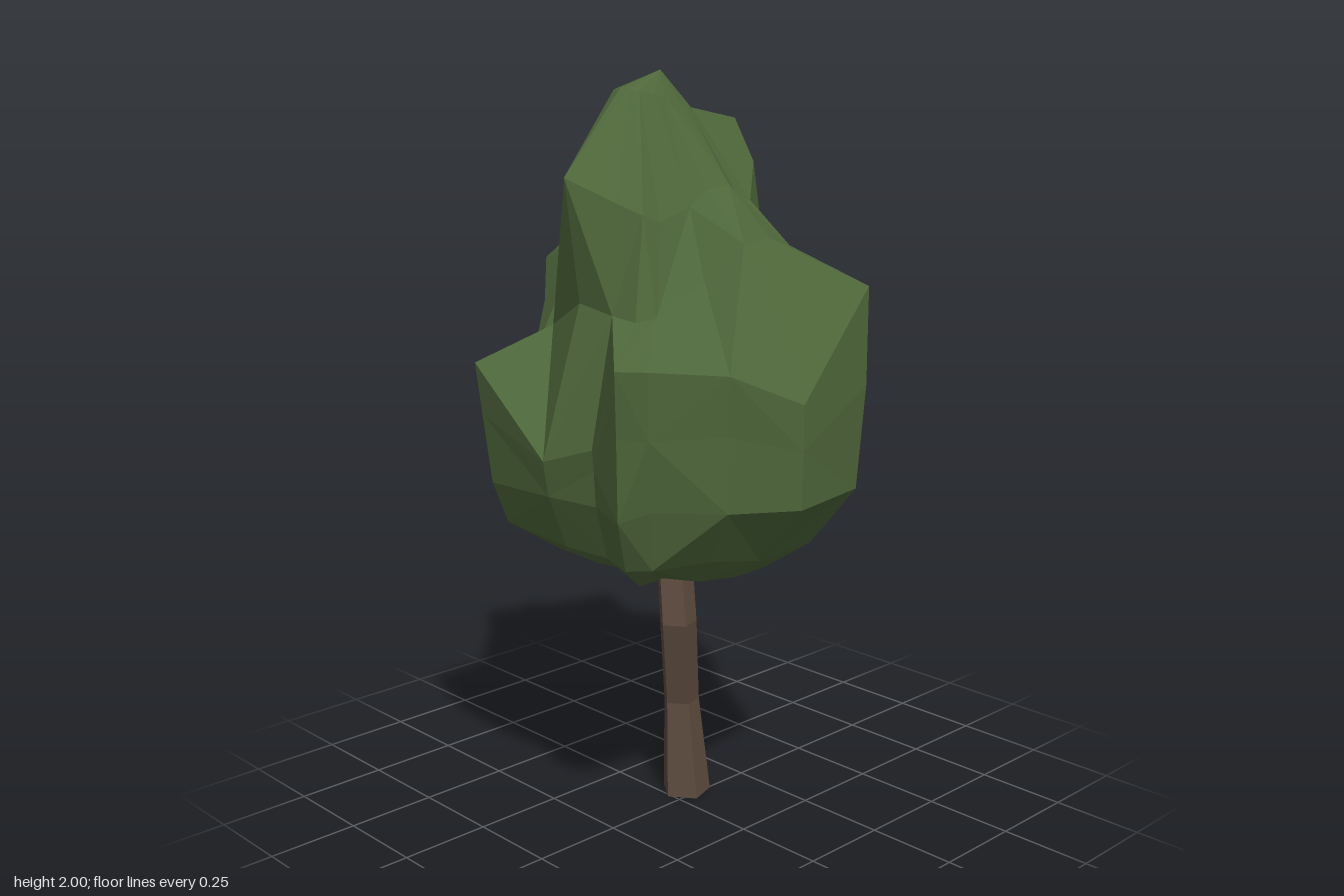
import * as THREE from 'three';

// Skins a stack of closed rings (bottom to top, turning from +x to +z) and closes both ends.
function loft(rings, bottom, top) {
  const n = rings[0].length;
  const pos = [];
  const tri = (a, b, c) => pos.push(...a, ...b, ...c);
  for (let i = 0; i < n; i++) {
    const j = (i + 1) % n;
    tri(bottom, rings[0][i], rings[0][j]);
    for (let k = 0; k < rings.length - 1; k++) {
      const a = rings[k][i], b = rings[k][j], c = rings[k + 1][i], d = rings[k + 1][j];
      if ((i + k) % 2) { tri(a, c, b); tri(b, c, d); }
      else { tri(a, d, b); tri(a, c, d); }
    }
    const last = rings[rings.length - 1];
    tri(last[j], last[i], top);
  }
  const geo = new THREE.BufferGeometry();
  geo.setAttribute('position', new THREE.Float32BufferAttribute(pos, 3));
  geo.computeVertexNormals();
  return geo;
}

// Bent five-sided trunk: x, y, z, radius at each bend
function trunkGeometry() {
  const path = [
    [-0.037, 0, -0.06, 0.07],
    [-0.06, 0.27, -0.062, 0.052],
    [-0.028, 0.52, -0.018, 0.054],
    [-0.065, 0.74, -0.035, 0.052],
    [-0.07, 0.85, -0.04, 0.045],
  ];
  const rings = path.map(([x, y, z, r]) => Array.from({ length: 5 }, (_, i) => {
    const a = Math.PI / 2 + i * Math.PI * 0.4;
    return [x + r * Math.cos(a), y, z + r * Math.sin(a)];
  }));
  return loft(rings, path[0].slice(0, 3), path[4].slice(0, 3));
}

// Lumpy crown: each column climbs a lobe to its tip, steps in to a shelf,
// then rises over an upper shoulder to the peak
function crownGeometry() {
  let seed = 11;
  const jitter = (s) => {
    seed = (seed * 16807) % 2147483647;
    return (seed / 2147483647 - 0.5) * 2 * s;
  };
  const cx = -0.04;
  // tip x, z, height; flank fraction; shelf fraction, height; shoulder fraction, height
  const columns = [
    [0.52, 0.09, 1.23, 1.00, 0.57, 1.59, 0.30, 1.71],
    [0.40, 0.22, 1.30, 0.98, 0.60, 1.50, 0.36, 1.67],
    [0.34, 0.43, 1.33, 0.99, 0.62, 1.42, 0.43, 1.64],
    [0.28, 0.48, 1.33, 0.98, 0.64, 1.41, 0.50, 1.66],
    [0.14, 0.43, 1.11, 0.98, 0.74, 1.42, 0.68, 1.69],
    [-0.01, 0.46, 1.06, 0.99, 0.71, 1.44, 0.81, 1.75],
    [-0.29, 0.45, 1.27, 0.97, 0.60, 1.36, 0.48, 1.65],
    [-0.31, 0.24, 1.26, 0.98, 0.73, 1.36, 0.51, 1.66],
    [-0.43, 0.10, 1.38, 0.93, 0.72, 1.53, 0.50, 1.72],
    [-0.53, 0.01, 1.48, 0.87, 0.80, 1.55, 0.50, 1.76],
    [-0.50, -0.11, 1.47, 0.90, 0.83, 1.56, 0.53, 1.77],
    [-0.27, -0.28, 1.43, 0.96, 0.78, 1.56, 0.60, 1.74],
    [-0.19, -0.30, 1.46, 0.96, 0.84, 1.59, 0.70, 1.77],
    [-0.12, -0.48, 1.40, 0.92, 0.66, 1.55, 0.61, 1.87],
    [0.03, -0.42, 1.35, 0.94, 0.72, 1.55, 0.64, 1.76],
    [0.24, -0.34, 1.33, 0.95, 0.69, 1.50, 0.48, 1.67],
    [0.29, -0.25, 1.41, 0.95, 0.76, 1.56, 0.44, 1.68],
    [0.51, -0.15, 1.49, 1.00, 0.52, 1.59, 0.31, 1.72],
  ];
  const at = ([x, z], f, y) => [cx + (x - cx) * f, y, z * f];

  // Underside: fraction, height, then the pull-in at the back, right and left
  const lower = [
    [0.22, 0.69, 0, 0, 0], [0.56, 0.74, 0.04, 0.04, 0],
    [0.85, 0.82, 0.12, 0.12, 0.07], [0.95, 0.97, 0.08, -0.03, 0.05],
  ];
  const rings = lower.map(([f, y, back, right, left], k) => columns.map((c) => {
    const s = k ? 0.022 : 0.005;
    const pull = c[1] < -0.2 ? back : c[0] > 0.38 ? right : c[0] < -0.4 ? left : 0;
    return at(c, f - pull + jitter(s), y + jitter(s));
  }));
  // Flank, lobe tips, shelf and shoulder
  rings.push(
    columns.map((c) => at(c, c[3], 1.0 + 0.5 * (c[2] - 1.0))),
    columns.map((c) => at(c, 1, c[2])),
    columns.map((c) => at(c, c[4], c[5])),
    columns.map((c) => at(c, c[6], c[7])),
  );
  // Small oval cap under the peak, lower at the back
  rings.push(columns.map(([x, z]) => {
    const a = Math.atan2(z, x - cx);
    return [-0.075 + 0.07 * Math.cos(a), 1.93 + 0.025 * Math.sin(a), 0.025 + 0.115 * Math.sin(a)];
  }));
  return loft(rings, [-0.04, 0.68, 0.01], [-0.05, 2, 0.02]);
}

export function createModel() {
  const bark = new THREE.MeshStandardMaterial({ color: 0x5c4a3d });
  bark.name = 'bark brown';
  const leaf = new THREE.MeshStandardMaterial({ color: 0x4e663a });
  leaf.name = 'leaf green';

  const tree = new THREE.Group();
  tree.name = 'tree';
  const trunk = new THREE.Mesh(trunkGeometry(), bark);
  trunk.name = 'trunk';
  const crown = new THREE.Mesh(crownGeometry(), leaf);
  crown.name = 'crown';
  tree.add(trunk, crown);
  return tree;
}
